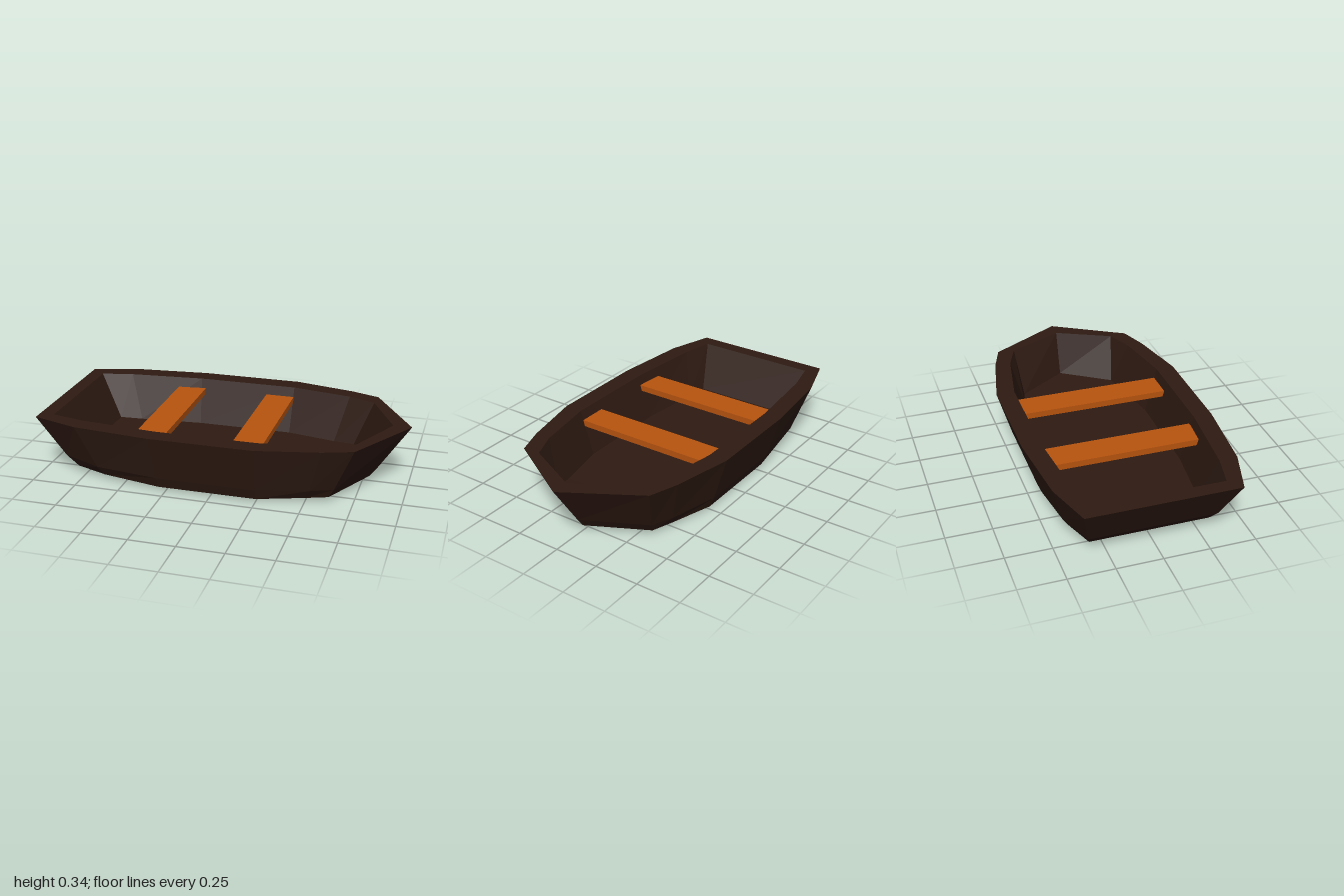
import * as THREE from 'three';

const wood = new THREE.MeshStandardMaterial({ color: 0x2e1a12, flatShading: true });
const seatWood = new THREE.MeshStandardMaterial({ color: 0xb8540f, flatShading: true });

// Half outlines from stern to bow as [x, y, z]; the last point lies on the centre line
const keel = [[-0.79, 0.033, 0.28], [-0.62, 0.02, 0.33], [-0.29, 0, 0.365], [0.25, 0, 0.365], [0.49, 0.013, 0.31], [0.61, 0.025, 0.28], [0.78, 0.03, 0]];
const bilge = [[-0.8, 0.035, 0.325], [-0.62, 0.03, 0.385], [-0.29, 0.018, 0.43], [0.25, 0.018, 0.43], [0.5, 0.025, 0.36], [0.62, 0.027, 0.32], [0.79, 0.03, 0]];
const chine = [[-0.86, 0.1, 0.345], [-0.65, 0.085, 0.415], [-0.3, 0.08, 0.455], [0.25, 0.08, 0.455], [0.53, 0.08, 0.385], [0.65, 0.08, 0.335], [0.83, 0.085, 0]];
const rim = [[-1, 0.34, 0.41], [-0.74, 0.34, 0.49], [-0.31, 0.34, 0.533], [0.26, 0.34, 0.533], [0.6, 0.34, 0.46], [0.76, 0.34, 0.405], [1, 0.34, 0]];
const innerRim = [[-0.92, 0.34, 0.35], [-0.74, 0.34, 0.39], [-0.31, 0.34, 0.43], [0.26, 0.34, 0.43], [0.6, 0.34, 0.37], [0.75, 0.34, 0.31], [0.9, 0.34, 0]];
const floorEdge = [[-0.79, 0.09, 0.295], [-0.66, 0.085, 0.315], [-0.3, 0.08, 0.36], [0.25, 0.08, 0.36], [0.53, 0.08, 0.305], [0.65, 0.085, 0.28], [0.83, 0.09, 0]];

const mirrored = ([x, y, z]) => [x, y, -z];
const ring = (half) => [...half, ...half.slice(0, -1).reverse().map(mirrored)];

function meshFromQuads(name, quads) {
  const points = quads.flatMap(([a, b, c, d]) => [a, b, c, a, c, d]);
  const geometry = new THREE.BufferGeometry();
  geometry.setAttribute('position', new THREE.Float32BufferAttribute(points.flat(), 3));
  geometry.computeVertexNormals();
  const mesh = new THREE.Mesh(geometry, wood);
  mesh.name = name;
  return mesh;
}

// Joins successive closed outlines with bands of quads
function bands(...halves) {
  const rings = halves.map(ring);
  const quads = [];
  for (let r = 0; r < rings.length - 1; r++) {
    const a = rings[r], b = rings[r + 1];
    a.forEach((p, i) => {
      const j = (i + 1) % a.length;
      quads.push([p, a[j], b[j], b[i]]);
    });
  }
  return quads;
}

// Planks spanning from side to side inside one outline
function deck(half, facingDown) {
  return half.slice(0, -1).map((p, i) => {
    const q = half[i + 1];
    const quad = [p, q, mirrored(q), mirrored(p)];
    return facingDown ? quad.reverse() : quad;
  });
}

export function createModel() {
  const boat = new THREE.Group();
  boat.name = 'rowingBoat';

  // Hull
  boat.add(
    meshFromQuads('hullBottom', deck(keel, true)),
    meshFromQuads('hullSides', bands(keel, bilge, chine, rim)),
    meshFromQuads('gunwale', bands(rim, innerRim)),
    meshFromQuads('innerWalls', bands(innerRim, floorEdge)),
    meshFromQuads('floor', deck(floorEdge, false)),
  );

  // Bench seats
  for (const [name, x] of [['rearSeat', -0.365], ['frontSeat', 0.177]]) {
    const seat = new THREE.Mesh(new THREE.BoxGeometry(0.165, 0.035, 0.83), seatWood);
    seat.name = name;
    seat.position.set(x, 0.268, 0);
    boat.add(seat);
  }
  return boat;
}
